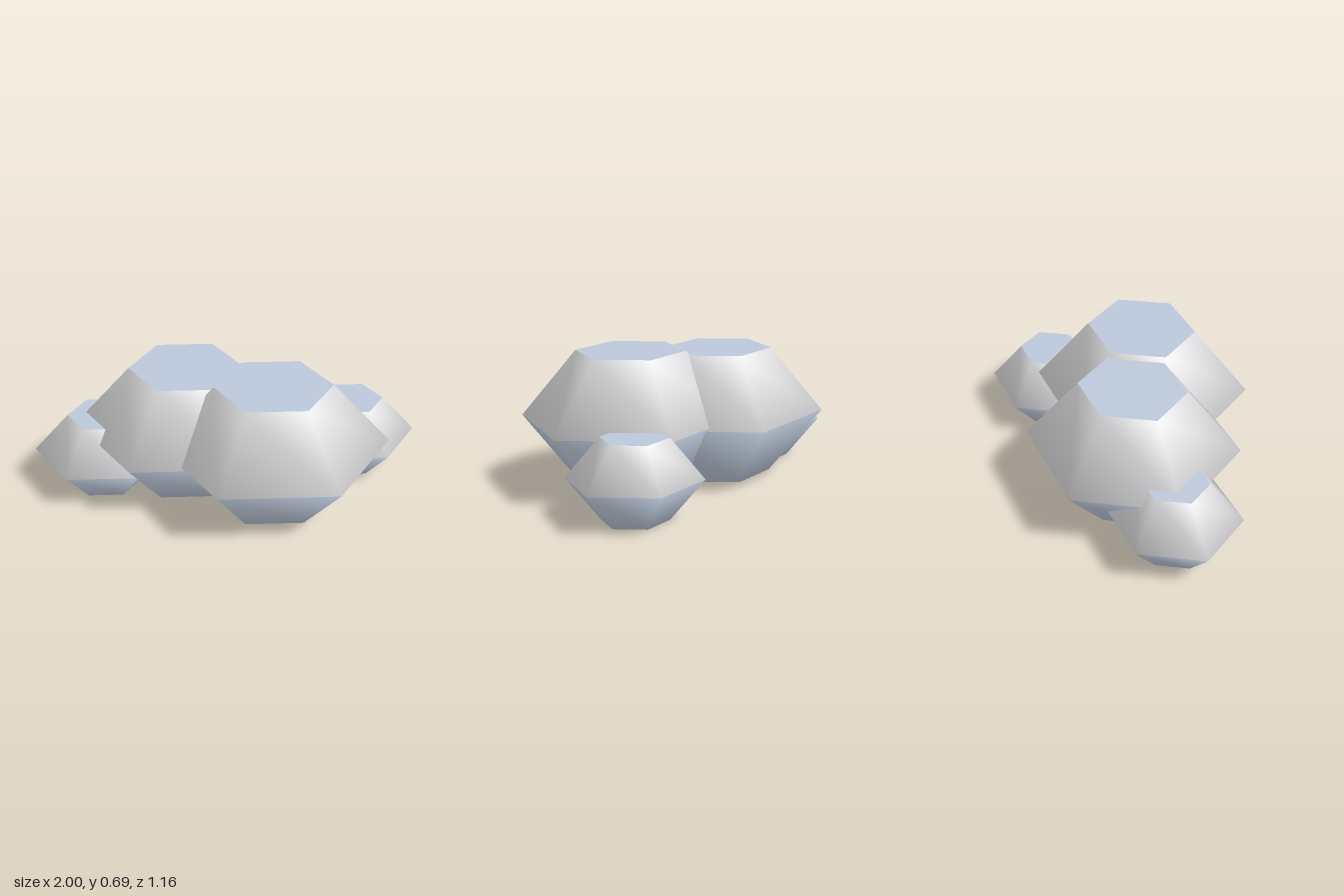
import * as THREE from 'three';

const upperGrey = new THREE.MeshStandardMaterial({ name: 'paleGrey', color: 0xdcdcde });
const lowerBlue = new THREE.MeshStandardMaterial({ name: 'greyBlue', color: 0xbcc8da });

const SIDES = 6;

// Unit puff: six-sided, smooth sides, widest at the middle, half as wide at the flat ends
function makeSides() {
  const profile = [[0.5, -1], [1, 0], [0.5, 1]].map(([r, y]) => new THREE.Vector2(r, y));
  const geo = new THREE.LatheGeometry(profile, SIDES, Math.PI / 2);
  // each segment holds one lower and one upper quad
  for (let i = 0; i < SIDES * 2; i++) geo.addGroup(i * 6, 6, i % 2);
  return geo;
}

function makePuff(name, x, y, z, radius, halfHeight) {
  const puff = new THREE.Group();
  puff.name = name;
  const sides = new THREE.Mesh(makeSides(), [lowerBlue, upperGrey]);
  sides.name = name + 'Sides';
  puff.add(sides);
  // flat top and bottom
  for (const s of [1, -1]) {
    const geo = new THREE.CircleGeometry(0.5, SIDES).rotateX(-s * Math.PI / 2);
    const cap = new THREE.Mesh(geo, lowerBlue);
    cap.name = name + (s > 0 ? 'Top' : 'Bottom');
    cap.position.y = s;
    puff.add(cap);
  }
  puff.scale.set(radius, halfHeight, radius * 0.91);
  puff.position.set(x, y, z);
  return puff;
}

export function createModel() {
  const cloud = new THREE.Group();
  cloud.name = 'cloud';
  cloud.add(
    makePuff('frontPuff', 0.22, 0.36, 0.11, 0.59, 0.335),
    makePuff('backPuff', -0.21, 0.347, -0.13, 0.575, 0.325),
    makePuff('smallRightPuff', -0.64, 0.208, -0.105, 0.36, 0.206),
    makePuff('smallLeftPuff', 0.65, 0.198, -0.235, 0.35, 0.197),
  );
  return cloud;
}
